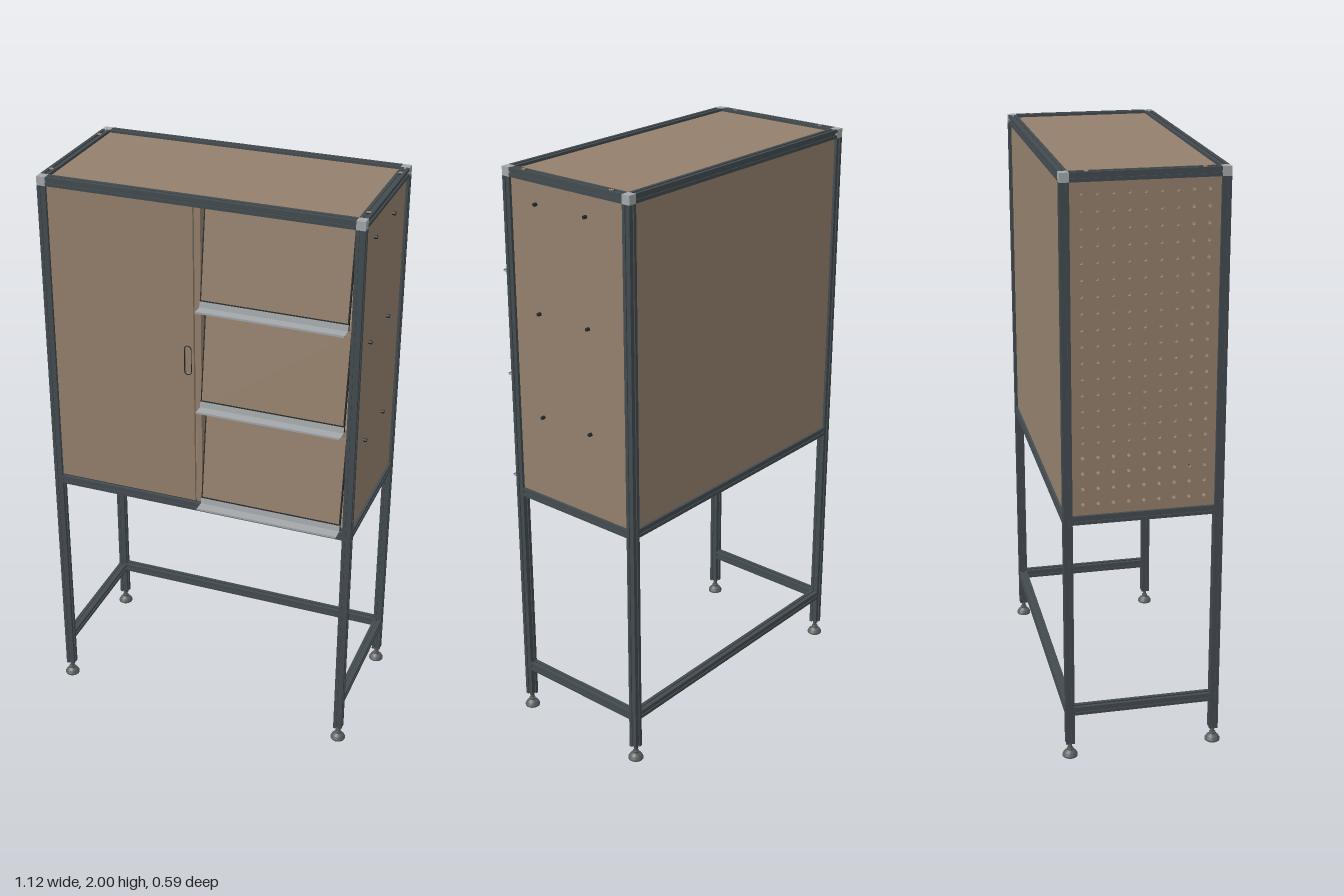
import * as THREE from 'three';

const mat = (name, color) => {
  const m = new THREE.MeshStandardMaterial({ color });
  m.name = name;
  return m;
};

const X = 0.532, ZF = 0.226, ZB = -0.274, ZM = (ZF + ZB) / 2; // frame centre lines
const W = 0.03;                                               // frame bar width

export function createModel() {
  const wood = mat('brown board', 0x94806c);
  const frame = mat('dark frame', 0x434b50);
  const metal = mat('light aluminium', 0xa4a8aa);
  const black = mat('black', 0x25282a);
  const rubber = mat('foot grey', 0x5a5e5f);

  const root = new THREE.Group();
  root.name = 'displayCabinet';

  const add = (name, geo, m, x = 0, y = 0, z = 0, parent = root) => {
    const mesh = new THREE.Mesh(geo, m);
    mesh.name = name;
    mesh.position.set(x, y, z);
    parent.add(mesh);
    return mesh;
  };
  const box = (name, w, h, d, m, x, y, z, parent) =>
    add(name, new THREE.BoxGeometry(w, h, d), m, x, y, z, parent);

  // Slotted square bar profile: one side with a groove, repeated four times
  const side = [[-0.015, -0.015], [-0.004, -0.015], [-0.004, -0.012], [-0.006, -0.009],
    [0.006, -0.009], [0.004, -0.012], [0.004, -0.015]];
  const pts = [];
  for (let k = 0; k < 4; k++) {
    for (const [px, py] of side) {
      pts.push(new THREE.Vector2(px, py).rotateAround(new THREE.Vector2(), k * Math.PI / 2));
    }
  }
  const profile = new THREE.Shape(pts);
  const bar = (name, axis, length, x, y, z) => {
    const g = new THREE.ExtrudeGeometry(profile, { depth: length, bevelEnabled: false });
    g.translate(0, 0, -length / 2);
    if (axis === 'x') g.rotateY(Math.PI / 2);
    if (axis === 'y') g.rotateX(Math.PI / 2);
    return add(name, g, frame, x, y, z);
  };

  // Posts, corner blocks and levelling feet
  const footProfile = [[0, 0], [0.026, 0], [0.026, 0.006], [0.021, 0.015], [0.011, 0.023],
    [0.011, 0.03], [0.007, 0.031], [0.007, 0.055]].map(p => new THREE.Vector2(...p));
  for (const x of [-X, X]) {
    for (const z of [ZF, ZB]) {
      bar('post', 'y', 1.92, x, 1.01, z);
      box('cornerBlock', W, W, W, metal, x, 1.985, z);
      const foot = new THREE.LatheGeometry(footProfile, 24).toNonIndexed();
      foot.computeVertexNormals();
      add('foot', foot, rubber, x, 0, z);
    }
  }

  // Horizontal rails; the front stays open at the bottom
  const lenX = 2 * X - W, lenZ = ZF - ZB - W;
  for (const y of [0.175, 0.875, 1.985]) {
    bar('backRail', 'x', lenX, 0, y, ZB);
    if (y > 0.5) bar('frontRail', 'x', lenX, 0, y, ZF);
    for (const x of [-X, X]) bar('sideRail', 'z', lenZ, x, y, ZM);
  }
  bar('floorCrossRail', 'z', lenZ, 0, 0.872, ZM);

  // Connector holes on the top side rails
  for (const x of [-X, X]) {
    for (const z of [-0.205, 0.16]) {
      add('connectorRim', new THREE.CylinderGeometry(0.011, 0.011, 0.004, 16), black, x, 1.9982, z);
      add('connectorPlug', new THREE.CylinderGeometry(0.009, 0.009, 0.004, 16), wood, x, 1.9986, z);
    }
  }

  // Body panels
  const T = 0.012, yLow = 0.89, yHigh = 1.97, H = yHigh - yLow, yMid = (yLow + yHigh) / 2;
  box('topPanel', lenX, T, lenZ, wood, 0, 1.985, ZM);
  box('floorPanel', lenX, T, lenZ, wood, 0, 0.881, ZM);
  box('backPanel', lenX, H, T, wood, 0, yMid, ZB);
  box('rightHandPanel', T, H, lenZ, wood, X, yMid, ZM);
  box('divider', 0.02, H, lenZ + 0.02, wood, 0, yMid, ZM + 0.005);

  // Perforated side panel
  const rect = (x0, y0, x1, y1) => new THREE.Shape([[x0, y0], [x1, y0], [x1, y1], [x0, y1]]
    .map(p => new THREE.Vector2(...p)));
  const peg = rect(-lenZ / 2, -H / 2, lenZ / 2, H / 2);
  for (let i = 0; i < 9; i++) {
    for (let j = 0; j < 20; j++) {
      const hole = new THREE.Path();
      hole.absarc((i - 4) * 0.05, (j - 9.5) * 0.053, 0.006, 0, Math.PI * 2, true);
      peg.holes.push(hole);
    }
  }
  const pegGeo = new THREE.ExtrudeGeometry(peg, { depth: T, bevelEnabled: false, curveSegments: 8 });
  pegGeo.translate(0, 0, -T / 2).rotateY(Math.PI / 2);
  add('perforatedPanel', pegGeo, wood, -X, yMid, ZM);

  // Runner pins through the solid side panel
  for (const y of [1.18, 1.54, 1.9]) {
    for (const z of [0.105, -0.105]) {
      const pin = new THREE.CylinderGeometry(0.006, 0.006, 0.034, 12);
      pin.rotateZ(Math.PI / 2);
      add('runnerPin', pin, black, X, y, z);
    }
  }

  // Door with a recessed oval pull
  const door = rect(-0.517, yLow + 0.004, -0.014, yHigh - 0.004);
  const oval = (r) => {
    const p = new THREE.Path();
    p.absarc(-0.035, 1.47, r, 0, Math.PI, false);
    p.absarc(-0.035, 1.39, r, Math.PI, Math.PI * 2, false);
    p.closePath();
    return p;
  };
  door.holes.push(oval(0.012));
  add('door', new THREE.ExtrudeGeometry(door, { depth: T, bevelEnabled: false }), wood, 0, 0, 0.219);
  box('pullRecess', 0.03, 0.12, 0.006, wood, -0.035, 1.43, 0.217);
  const rim = new THREE.Shape(oval(0.0135).getPoints(12));
  rim.holes.push(oval(0.011));
  add('pullRim', new THREE.ExtrudeGeometry(rim, { depth: 0.002, bevelEnabled: false }), black, 0, 0, 0.23);

  // Shelves behind the tilted display flaps
  const cx = 0.2625, w = 0.495;
  for (const y of [1.26, 1.62]) {
    box('shelf', 0.507, 0.012, lenZ, wood, 0.2635, y, ZM);
  }

  // Display flaps leaning back, each with a ledge tray
  for (const y of [0.9, 1.275, 1.637]) {
    const flap = new THREE.Group();
    flap.name = 'displayFlap';
    flap.position.set(cx, y, 0.25);
    flap.rotation.x = -0.14;
    root.add(flap);
    box('flapBoard', w - 0.008, 0.33, 0.01, wood, 0, 0.165, -0.006, flap);
    for (const s of [-1, 1]) {
      box('flapEdge', 0.004, 0.33, 0.01, black, s * (w / 2 - 0.002), 0.165, -0.006, flap);
    }
    box('ledgeBack', w, 0.022, 0.003, metal, 0, 0.011, 0.001, flap);
    box('ledgeTrim', w, 0.003, 0.004, black, 0, 0.0235, 0.001, flap);
    box('ledgeTray', w, 0.003, 0.045, metal, cx, y, 0.2715);
    box('ledgeLip', w, 0.007, 0.002, metal, cx, y + 0.002, 0.293);
  }

  return root;
}
